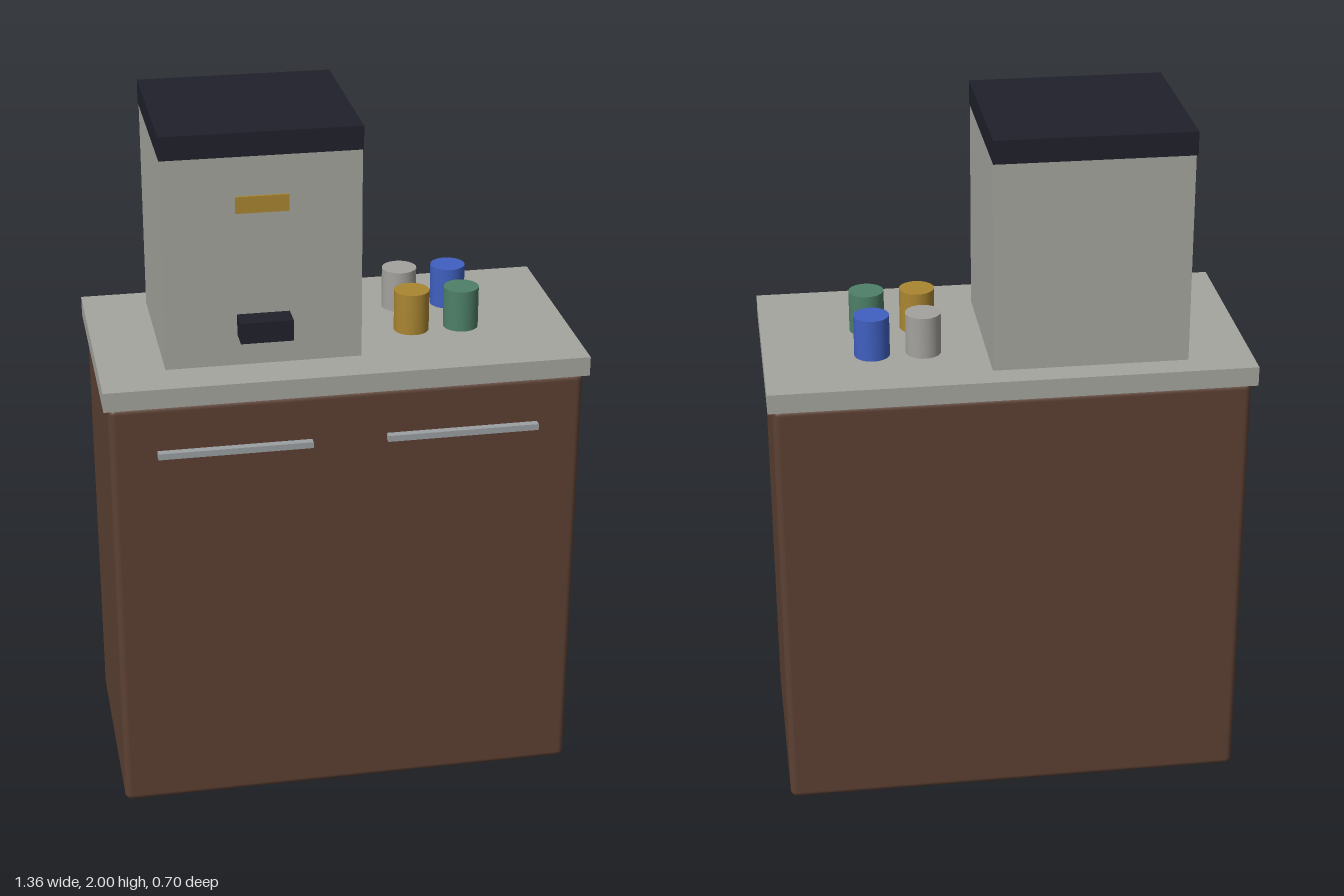
import * as THREE from 'three';
import { RoundedBoxGeometry } from 'three/addons/geometries/RoundedBoxGeometry.js';

const material = (name, color) => {
  const m = new THREE.MeshStandardMaterial({ color });
  m.name = name;
  return m;
};

export function createModel() {
  const model = new THREE.Group();
  model.name = 'coffeeStation';

  const wood = material('brown wood', 0x5c4033);
  const stone = material('pale grey stone', 0xa5a59f);
  const dark = material('dark plastic', 0x20202b);
  const gold = material('gold', 0xaa8632);
  const green = material('green', 0x4e8068);
  const blue = material('blue', 0x4060c0);
  const steel = material('steel', 0x9ca0a2);
  const cream = material('grey ceramic', 0xa4a29e);

  const add = (name, geometry, mat, x, y, z) => {
    const mesh = new THREE.Mesh(geometry, mat);
    mesh.name = name;
    mesh.position.set(x, y, z);
    model.add(mesh);
  };
  // Box given by its minimum and maximum on each axis
  const box = (name, mat, [x0, x1], [y0, y1], [z0, z1]) =>
    add(name, new THREE.BoxGeometry(x1 - x0, y1 - y0, z1 - z0), mat,
      (x0 + x1) / 2, (y0 + y1) / 2, (z0 + z1) / 2);

  // Cabinet with softened edges, and its worktop
  add('cabinet', new RoundedBoxGeometry(1.33, 1.275, 0.663, 4, 0.02), wood, 0, 0.6375, -0.003);
  box('worktop', stone, [-0.678, 0.678], [1.274, 1.33], [-0.35, 0.342]);

  // Drawer handles
  for (const side of [-1, 1]) {
    add(side < 0 ? 'rightHandle' : 'leftHandle',
      new THREE.BoxGeometry(0.43, 0.018, 0.022), steel, side * 0.32, 1.131, 0.339);
  }

  // Coffee machine
  box('machineBody', stone, [-0.494, 0.054], [1.33, 1.935], [-0.274, 0.216]);
  box('machineLid', dark, [-0.495, 0.055], [1.934, 2], [-0.291, 0.227]);
  box('spout', dark, [-0.293, -0.147], [1.42, 1.48], [0.21, 0.284]);
  box('badge', gold, [-0.293, -0.147], [1.773, 1.82], [0.2155, 0.223]);

  // Cups
  const cup = new THREE.CylinderGeometry(0.05, 0.05, 0.12, 32);
  const cups = [
    ['goldCup', gold, 0.23, 0.054],
    ['greenCup', green, 0.374, 0.054],
    ['greyCup', cream, 0.23, -0.12],
    ['blueCup', blue, 0.374, -0.12],
  ];
  for (const [name, mat, x, z] of cups) add(name, cup, mat, x, 1.39, z);

  return model;
}
